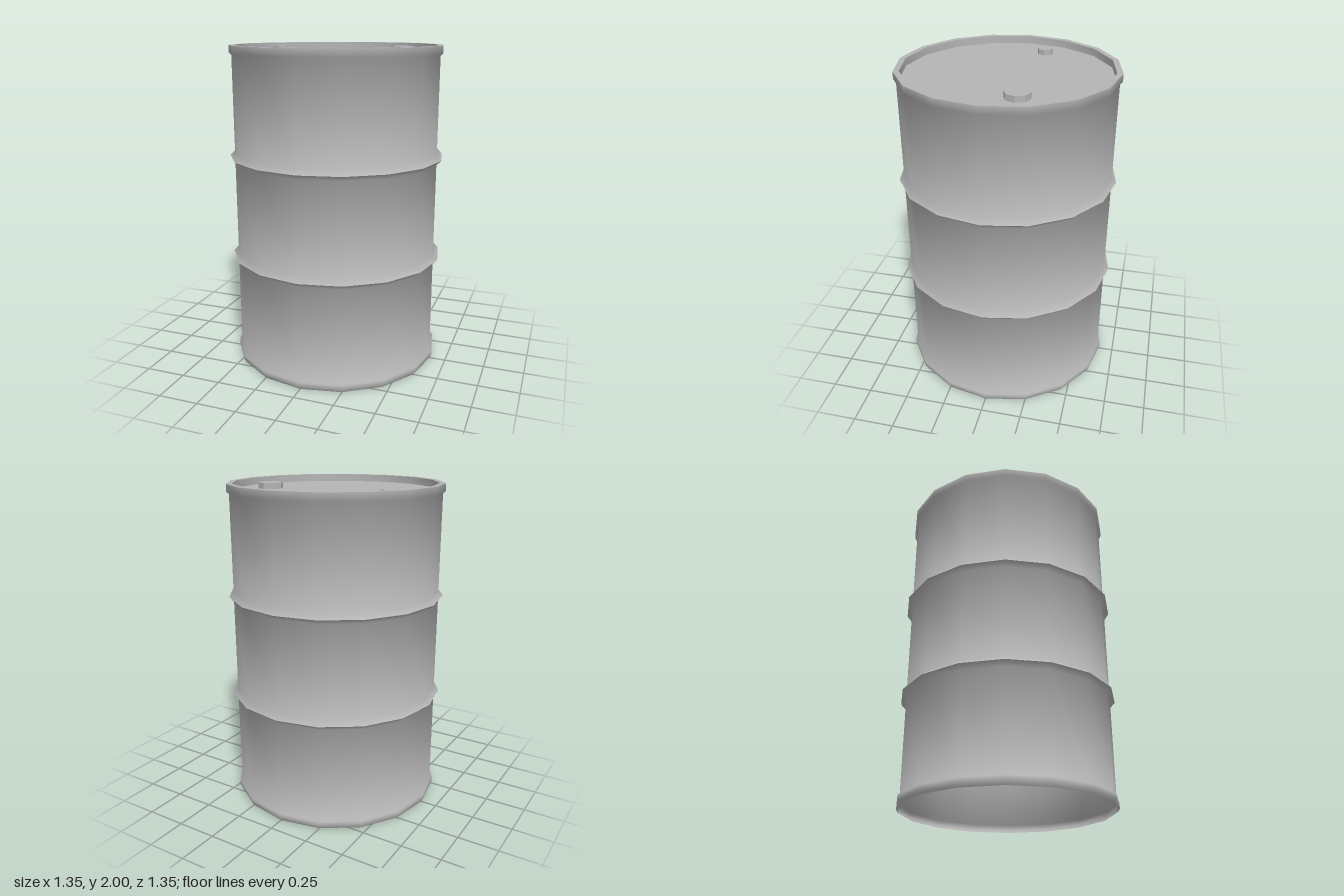
import * as THREE from 'three';
import { toCreasedNormals } from 'three/addons/utils/BufferGeometryUtils.js';

const SIDES = 16;
const WALL = 0.645, RIB = 0.674, RIM = 0.66, LID = 0.625, LID_Y = 1.955;

export function createModel() {
  const model = new THREE.Group();
  model.name = 'barrel';

  const steel = new THREE.MeshStandardMaterial({ color: 0xb5b5b5, side: THREE.DoubleSide });
  steel.name = 'grey steel';

  const add = (name, geometry, x = 0, y = 0, z = 0) => {
    const mesh = new THREE.Mesh(geometry, steel);
    mesh.name = name;
    mesh.position.set(x, y, z);
    model.add(mesh);
  };

  // Thin shell, open underneath: bottom rim, two pressed ribs, top rim
  const profile = [[0.648, 0], [RIM, 0.02], [RIM, 0.05], [WALL, 0.062]];
  for (const y of [0.684, 1.32]) {
    profile.push([WALL, y - 0.03], [RIB, y], [WALL, y + 0.03]);
  }
  profile.push([WALL, 1.94], [RIM, 1.955], [RIM, 2], [LID, 2], [LID, LID_Y]);
  const shell = new THREE.LatheGeometry(profile.map(([r, y]) => new THREE.Vector2(r, y)), SIDES);
  add('shell', toCreasedNormals(shell, THREE.MathUtils.degToRad(60)));

  // Recessed lid
  add('lid', new THREE.CircleGeometry(LID, SIDES).rotateX(-Math.PI / 2), 0, LID_Y, 0);

  // Octagonal bung caps
  const addCap = (name, radius, height, x) => {
    const cap = new THREE.CylinderGeometry(radius, radius, height, 8);
    add(name, toCreasedNormals(cap, 0.5), x, LID_Y + height / 2, -0.14);
  };
  addCap('largeCap', 0.076, 0.036, 0.385);
  addCap('smallCap', 0.049, 0.032, -0.433);

  return model;
}
